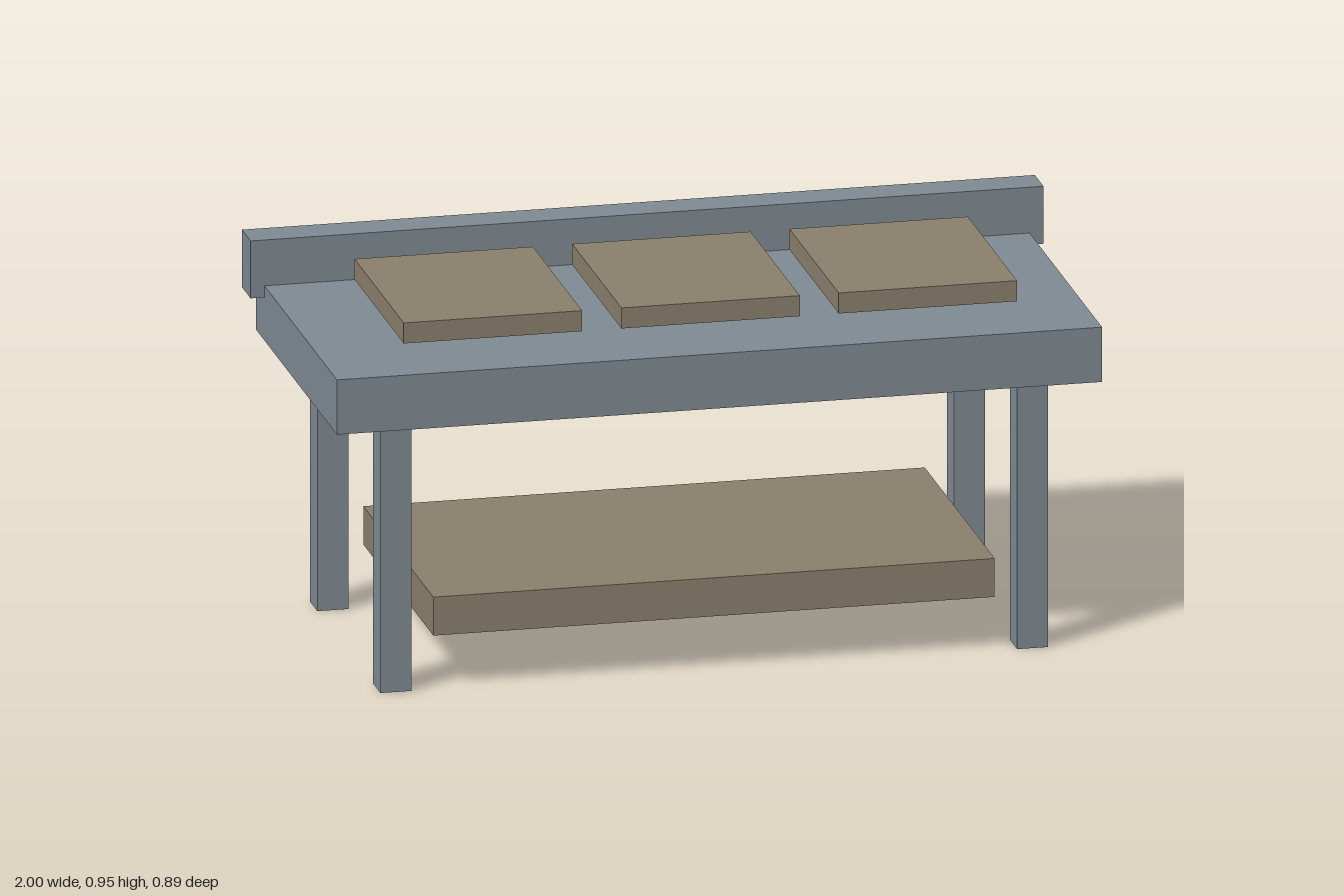
import * as THREE from 'three';

export function createModel() {
  const model = new THREE.Group();
  model.name = 'workTable';

  const steel = new THREE.MeshStandardMaterial({ color: 0x7f8a92 });
  steel.name = 'blue grey steel';
  const wood = new THREE.MeshStandardMaterial({ color: 0x8a7f6c });
  wood.name = 'dull tan wood';

  // Adds a box spanning the given [min, max] ranges
  function addBox(name, material, [x0, x1], [y0, y1], [z0, z1]) {
    const mesh = new THREE.Mesh(new THREE.BoxGeometry(x1 - x0, y1 - y0, z1 - z0), material);
    mesh.position.set((x0 + x1) / 2, (y0 + y1) / 2, (z0 + z1) / 2);
    mesh.name = name;
    model.add(mesh);
  }

  // Table top and the raised rail along its back edge
  addBox('tableTop', steel, [-0.965, 0.965], [0.692, 0.833], [-0.439, 0.445]);
  addBox('backRail', steel, [-1, 1], [0.803, 0.951], [-0.443, -0.348]);

  // Four square legs
  for (const [side, x] of [['Left', 0.803], ['Right', -0.803]]) {
    for (const [end, z] of [['front', 0.348], ['back', -0.342]]) {
      addBox(`${end}${side}Leg`, steel, [x - 0.039, x + 0.039], [0, 0.692], [z - 0.039, z + 0.039]);
    }
  }

  // Lower shelf between the legs
  addBox('lowerShelf', wood, [-0.708, 0.708], [0.138, 0.237], [-0.381, 0.385]);

  // Three boards hovering just above the top
  for (const [name, x] of [['rightBoard', -0.55], ['middleBoard', -0.001], ['leftBoard', 0.547]]) {
    addBox(name, wood, [x - 0.225, x + 0.225], [0.885, 0.938], [-0.187, 0.352]);
  }

  return model;
}
